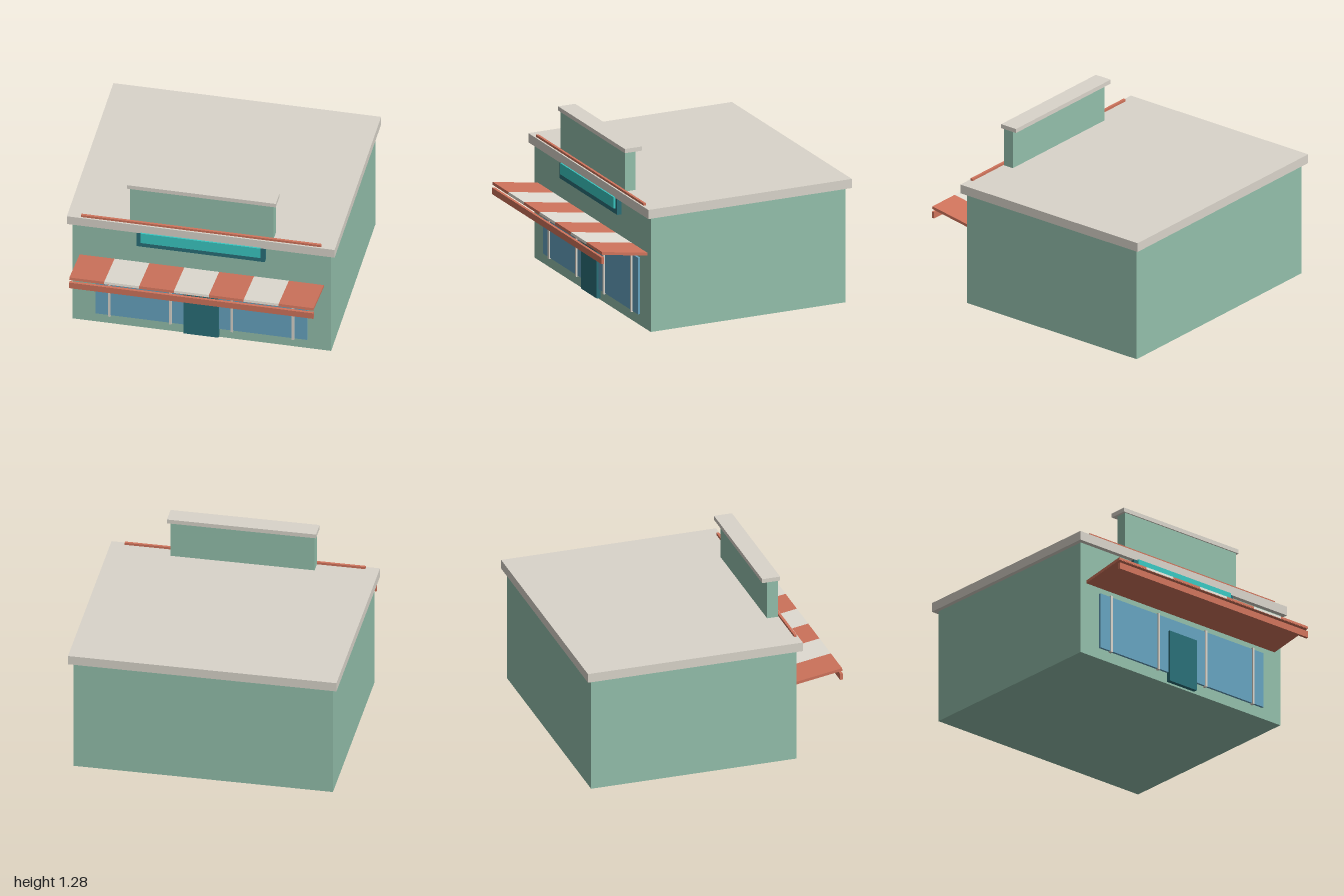
import * as THREE from 'three';

const mat = (color) => new THREE.MeshStandardMaterial({ color });

export function createModel() {
  const model = new THREE.Group();
  model.name = 'shop';
  const green = mat(0x93bfab), stone = mat(0xd9d4ca), red = mat(0xd0745c), cream = mat(0xe3dfd5);
  const glass = mat(0x66a3c0), darkTeal = mat(0x2a6f78), teal = mat(0x3ac8c2);

  // Box given by its extents on each axis
  function block(name, material, [x0, x1], [y0, y1], [z0, z1], parent = model) {
    const mesh = new THREE.Mesh(new THREE.BoxGeometry(x1 - x0, y1 - y0, z1 - z0), material);
    mesh.position.set((x0 + x1) / 2, (y0 + y1) / 2, (z0 + z1) / 2);
    mesh.name = name;
    parent.add(mesh);
    return mesh;
  }
  const wide = (w) => [-w, w];

  // Building shell, roof and raised front wall
  const wallZ = 0.622;
  block('walls', green, wide(0.965), [0, 0.885], [-0.96, wallZ]);
  block('roof', stone, wide(0.998), [0.882, 0.952], [-0.995, 0.658]);
  block('parapet', green, wide(0.535), [0.94, 1.255], [0.538, wallZ]);
  block('parapetCap', stone, wide(0.554), [1.253, 1.285], [0.494, 0.632]);
  block('roofTrim', red, wide(0.895), [0.945, 0.969], [0.626, 0.645]);

  // Sign board under the roof edge
  block('signBack', darkTeal, wide(0.478), [0.76, 0.884], [0.61, 0.657]);
  block('signFace', teal, wide(0.447), [0.802, 0.888], [0.65, 0.67]);

  // Shop window, mullions and door
  block('shopWindow', glass, wide(0.789), [0.086, 0.52], [0.61, 0.64]);
  for (const x of [-0.685, -0.228, 0.228, 0.685]) {
    block('mullion', stone, [x - 0.009, x + 0.009], [0.077, 0.529], [0.62, 0.649]);
  }
  block('door', darkTeal, wide(0.131), [0.015, 0.417], [0.61, 0.654]);

  // Awning slab, tilted up towards the street, with seven stripes on it
  const awning = new THREE.Group();
  awning.name = 'awning';
  awning.position.set(0, 0.58, 0.615);
  awning.rotation.x = -Math.atan2(0.06, 0.375);
  model.add(awning);
  const stripe = 1.82 / 7;
  block('awningSlab', red, wide(0.909), [-0.011, 0.008], [0, 0.379], awning);
  for (let i = 0; i < 7; i++) {
    const x = -0.91 + i * stripe;
    block('awningStripe', i % 2 ? cream : red, [x, x + stripe], [-0.008, 0.011], [0, 0.381], awning);
  }
  block('valance', red, wide(0.91), [0.558, 0.608], [0.974, 0.995]);

  return model;
}
